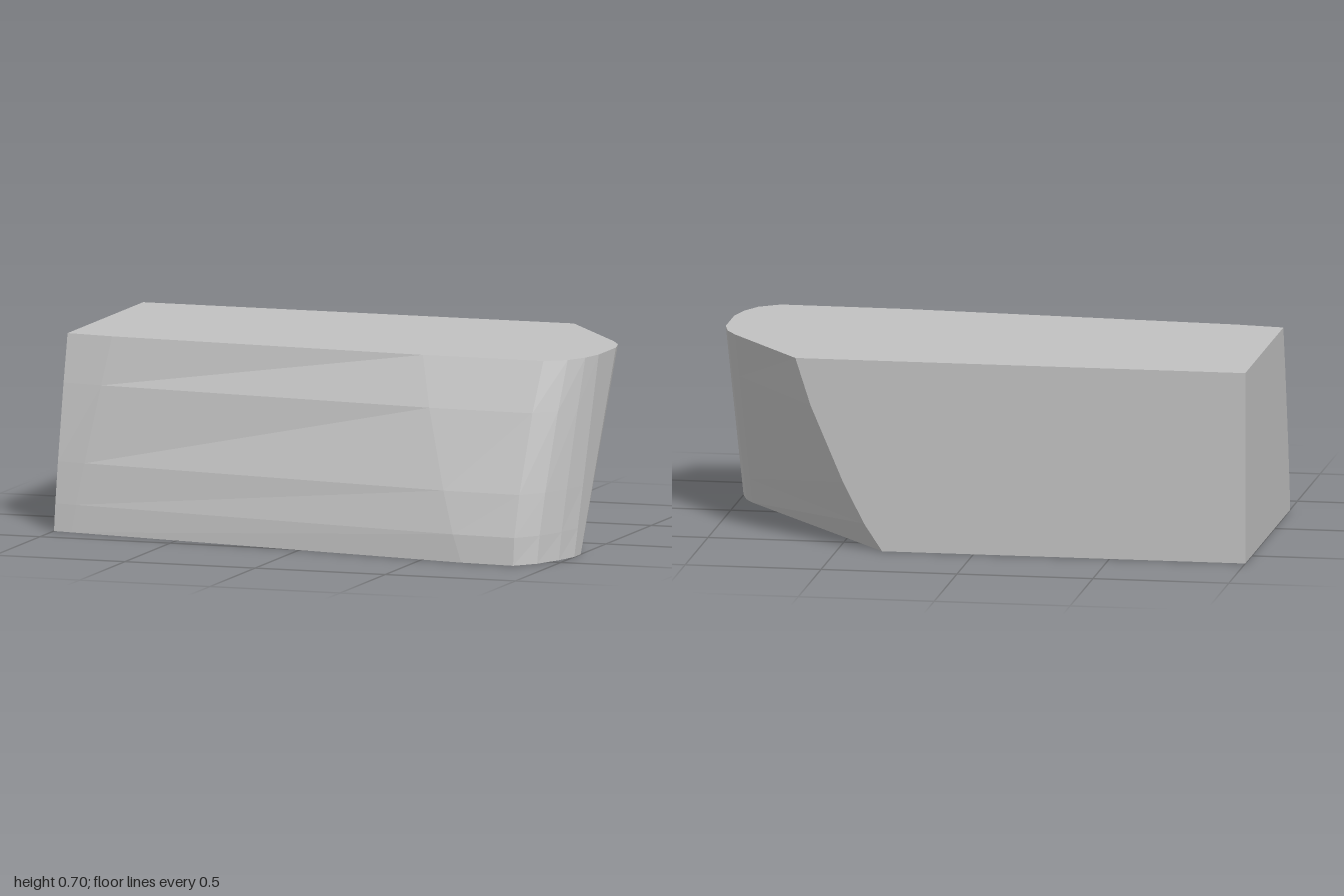
import * as THREE from 'three';

// Outline corners, clockwise from the back: bottom x, z; top x, z; bow in x, z
const CORNERS = [
  [0.336, -0.64, 0.655, -0.64, 0.6, 0],
  [0.945, 0.148, 0.94, -0.26, 0, 0],
  [0.975, 0.2, 0.98, -0.19, 0, 0],
  [1, 0.28, 1, -0.11, 0, 0],
  [1, 0.35, 1, 0.08, 0, 0],
  [0.975, 0.45, 0.98, 0.17, 0, 0.3],
  [0.93, 0.56, 0.94, 0.25, 0, 0.6],
  [0.865, 0.638, 0.865, 0.303, 0, 1],
  [0.66, 0.623, 0.4, 0.298, 0, 0.9],
  [-0.93, 0.358, -0.82, 0.22, 0, 0.25],
  [-1, 0.345, -1, 0.195, 0, 0.2],
  [-1, -0.64, -1, -0.64, 0, 0],
];

// Heights of the cross-sections and how far the walls bow outwards there
const HEIGHT = 0.705;
const LEVELS = [[0, 0], [0.1, 0.035], [0.25, 0.05], [0.53, 0.038], [HEIGHT, 0]];

function crossSection([y, bow]) {
  const t = y / HEIGHT;
  return CORNERS.map(([x0, z0, x1, z1, bx, bz]) => [
    x0 + (x1 - x0) * t + bx * bow,
    y,
    z0 + (z1 - z0) * t + bz * bow,
  ]);
}

function meshFrom(name, positions, material) {
  const geometry = new THREE.BufferGeometry();
  geometry.setAttribute('position', new THREE.Float32BufferAttribute(positions.flat(), 3));
  geometry.computeVertexNormals();
  const mesh = new THREE.Mesh(geometry, material);
  mesh.name = name;
  return mesh;
}

export function createModel() {
  const grey = new THREE.MeshStandardMaterial({ color: 0xc0c0c0, flatShading: true });
  grey.name = 'light grey';
  const rings = LEVELS.map(crossSection);
  const n = CORNERS.length;

  // Walls between neighbouring cross-sections
  const walls = [];
  for (let k = 0; k + 1 < rings.length; k++) {
    const a = rings[k], b = rings[k + 1];
    for (let i = 0; i < n; i++) {
      const j = (i + 1) % n;
      walls.push(a[j], a[i], b[i], a[j], b[i], b[j]);
    }
  }

  // Flat convex caps
  const bottom = [], top = [];
  const low = rings[0], high = rings[rings.length - 1];
  for (let i = 1; i + 1 < n; i++) {
    bottom.push(low[0], low[i], low[i + 1]);
    top.push(high[0], high[i + 1], high[i]);
  }

  const group = new THREE.Group();
  group.name = 'slantedBlock';
  group.add(
    meshFrom('walls', walls, grey),
    meshFrom('topFace', top, grey),
    meshFrom('bottomFace', bottom, grey),
  );
  return group;
}
